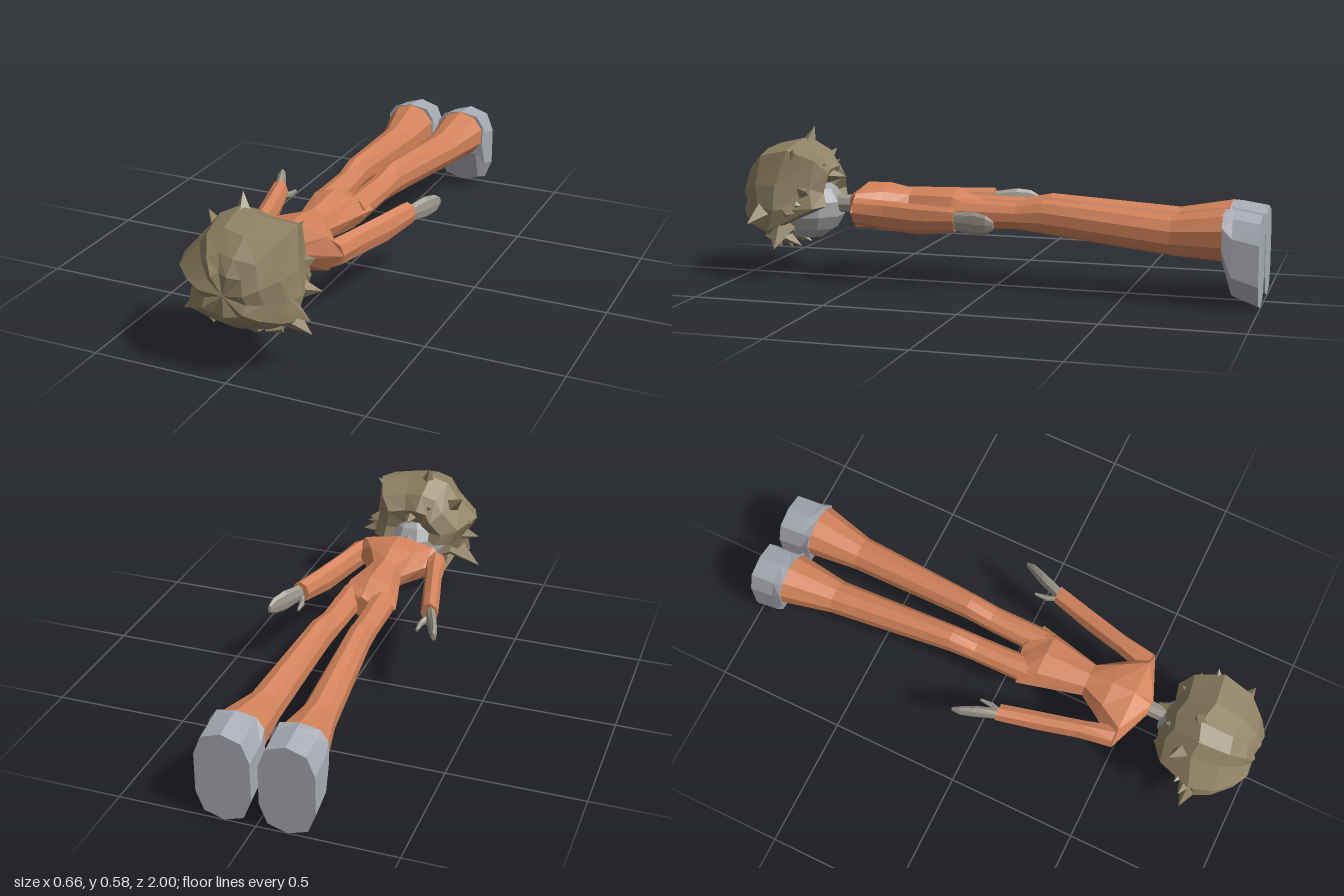
import * as THREE from 'three';
import { mergeGeometries } from 'three/addons/utils/BufferGeometryUtils.js';

const V = (x, y, z) => new THREE.Vector3(x, y, z);

// Faceted closed skin through rings of points, capped at both ends and turned outward
function loft(rings) {
  const tris = [];
  const n = rings[0].length;
  const mid = r => r.reduce((s, p) => s.add(p), V(0, 0, 0)).divideScalar(n);
  const first = rings[0], last = rings[rings.length - 1];
  const c0 = mid(first), c1 = mid(last);
  for (let j = 0; j < n; j++) {
    const k = (j + 1) % n;
    for (let i = 0; i < rings.length - 1; i++) {
      const a = rings[i], b = rings[i + 1];
      tris.push([a[j], a[k], b[k]], [a[j], b[k], b[j]]);
    }
    tris.push([c0, first[k], first[j]], [c1, last[j], last[k]]);
  }
  let volume = 0;
  for (const [a, b, c] of tris) volume += a.clone().sub(c0).dot(b.clone().sub(c0).cross(c.clone().sub(c0)));
  const points = tris.flatMap(([a, b, c]) => (volume < 0 ? [a, c, b] : [a, b, c]));
  const geo = new THREE.BufferGeometry().setFromPoints(points);
  geo.computeVertexNormals();
  return geo;
}

// Oval rings across the body; each row is [z, centre x, centre y, half width, half height].
// A power below 1 squares the oval off.
function limb(rows, n, side = 1, power = 1) {
  const bend = v => Math.sign(v) * Math.abs(v) ** power;
  return loft(rows.map(([z, cx, cy, rx, ry]) => Array.from({ length: n }, (_, i) => {
    const a = (i / n) * Math.PI * 2 - Math.PI / 2;
    return V(side * (cx + bend(Math.cos(a)) * rx), cy + bend(Math.sin(a)) * ry, z);
  })));
}

// Pointed lock of hair from a base to a tip
function lock(base, tip, radius) {
  const d = tip.clone().sub(base), len = d.length();
  const cone = new THREE.ConeGeometry(radius, len, 4).translate(0, len / 2, 0);
  cone.applyQuaternion(new THREE.Quaternion().setFromUnitVectors(V(0, 1, 0), d.normalize()));
  const geo = cone.translate(base.x, base.y, base.z).toNonIndexed();
  geo.deleteAttribute('uv');
  geo.computeVertexNormals();
  return geo;
}

// Hair: one jagged outline shrunk toward crown and nape, with locks standing out of it
function hairGeometry() {
  const outline = [
    [-0.16, 0.455], [-0.11, 0.5], [-0.05, 0.54], [0.04, 0.515], [0.165, 0.508], [0.18, 0.37], [0.205, 0.28],
    [0.18, 0.2], [0.12, 0.15], [0, 0.145], [-0.12, 0.145], [-0.2, 0.195], [-0.2, 0.28], [-0.23, 0.355],
  ];
  const layer = (scale, depth) => outline.map(([x, y], i) => {
    const f = scale * (i % 2 ? 1.03 : 0.98);
    return V(x * f, 0.3 + (y - 0.3) * f, depth(y) + (i % 2) * 0.015);
  });
  const cap = loft([
    layer(0.55, y => (y > 0.25 ? 0.64 : 0.8)),
    layer(0.8, y => (y > 0.25 ? 0.68 : 0.78)),
    layer(1, y => 0.83 - 0.2 * (y - 0.25)),
    layer(0.88, () => 0.895),
    layer(0.62, () => 0.955),
    layer(0.38, () => 0.985),
  ]);

  // Long locks round the outside, given by their tips
  const centre = V(0, 0.3, 0.84);
  const locks = [
    [-0.05, 0.578, 0.75], [-0.2, 0.476, 0.72], [0.17, 0.51, 0.75], [0.235, 0.27, 0.75], [-0.24, 0.355, 0.77],
    [-0.255, 0.282, 0.8], [0.265, 0.235, 0.9], [-0.255, 0.14, 0.82], [0.225, 0.135, 0.81],
  ].map(t => lock(V(...t).lerp(centre, 0.45), V(...t), 0.055));

  // Locks pointing down the nape
  for (let i = 0; i < 9; i++) {
    const a = (i / 8) * Math.PI, out = 0.1 + 0.07 * (i % 2);
    const c = Math.cos(a), s = Math.sin(a);
    const back = 0.6 + 0.07 * Math.abs(c) + 0.03 * (i % 2);
    locks.push(lock(V(c * 0.13, 0.3 + s * 0.1, 0.74), V(c * (out + 0.03), 0.29 + s * out, back), 0.055));
  }
  // Fringe hanging past the brow
  for (let i = 0; i < 6; i++) {
    const x = -0.125 + i * 0.05;
    locks.push(lock(V(x * 0.9, 0.18, 0.86), V(x, i % 2 ? 0.1 + Math.abs(x) * 0.2 : 0.125, 0.76 + (i % 2) * 0.06), 0.042));
  }
  return mergeGeometries([cap, ...locks]);
}

export function createModel() {
  const group = new THREE.Group();
  const material = (name, color) => {
    const m = new THREE.MeshStandardMaterial({ color });
    m.name = name;
    return m;
  };
  const suit = material('orange suit', 0xd2825a);
  const boot = material('grey boots', 0xa8abb3);
  const skin = material('dull skin', 0x9c978b);
  const face = material('pale face', 0xa3a4a6);
  const hair = material('brown hair', 0x8e8062);
  const add = (name, geo, mat) => {
    const mesh = new THREE.Mesh(geo, mat);
    mesh.name = name;
    group.add(mesh);
  };

  // Torso from neck to crotch
  add('torso', limb([
    [0.578, 0, 0.29, 0.03, 0.035], [0.51, 0, 0.285, 0.2, 0.09], [0.42, 0, 0.292, 0.125, 0.085],
    [0.33, 0, 0.29, 0.066, 0.068], [0.15, 0, 0.283, 0.11, 0.082],
    [0.085, 0, 0.28, 0.125, 0.055], [0.055, 0, 0.28, 0.03, 0.045],
  ], 8), suit);

  // Limbs, mirrored
  for (const [word, s] of [['left', 1], ['right', -1]]) {
    add(word + 'Leg', limb([
      [0.13, 0.062, 0.28, 0.05, 0.055], [-0.1, 0.067, 0.28, 0.047, 0.05], [-0.2, 0.073, 0.285, 0.047, 0.065],
      [-0.68, 0.1, 0.243, 0.064, 0.073], [-0.875, 0.112, 0.255, 0.1, 0.095],
    ], 10, s), suit);

    // Boot with the toe pointing down
    add(word + 'Boot', limb([
      [-0.87, 0.112, 0.255, 0.102, 0.095], [-0.905, 0.113, 0.192, 0.103, 0.156], [-1, 0.113, 0.167, 0.103, 0.167],
    ], 10, s, 0.7), boot);

    add(word + 'Arm', limb([
      [0.505, 0.155, 0.285, 0.045, 0.05], [0.38, 0.184, 0.28, 0.034, 0.055],
      [0.23, 0.221, 0.277, 0.035, 0.056], [0.08, 0.259, 0.288, 0.034, 0.044],
    ], 8, s), suit);
    add(word + 'Hand', limb([
      [0.1, 0.258, 0.285, 0.02, 0.03], [0, 0.294, 0.285, 0.019, 0.043],
      [-0.05, 0.314, 0.285, 0.014, 0.035], [-0.08, 0.322, 0.285, 0.006, 0.016],
    ], 8, s), skin);
    add(word + 'Thumb', limb([
      [0.085, 0.255, 0.27, 0.012, 0.014], [0.045, 0.238, 0.262, 0.011, 0.012], [-0.005, 0.236, 0.258, 0.005, 0.007],
    ], 6, s), skin);
  }

  // Neck and head, looking down
  add('neck', limb([[0.55, 0, 0.288, 0.03, 0.033], [0.68, 0, 0.285, 0.03, 0.036]], 8), skin);
  const head = new THREE.SphereGeometry(1, 10, 7).scale(0.125, 0.125, 0.15).translate(0, 0.268, 0.765).toNonIndexed();
  head.computeVertexNormals();
  add('head', head, face);
  add('hair', hairGeometry(), hair);

  return group;
}
